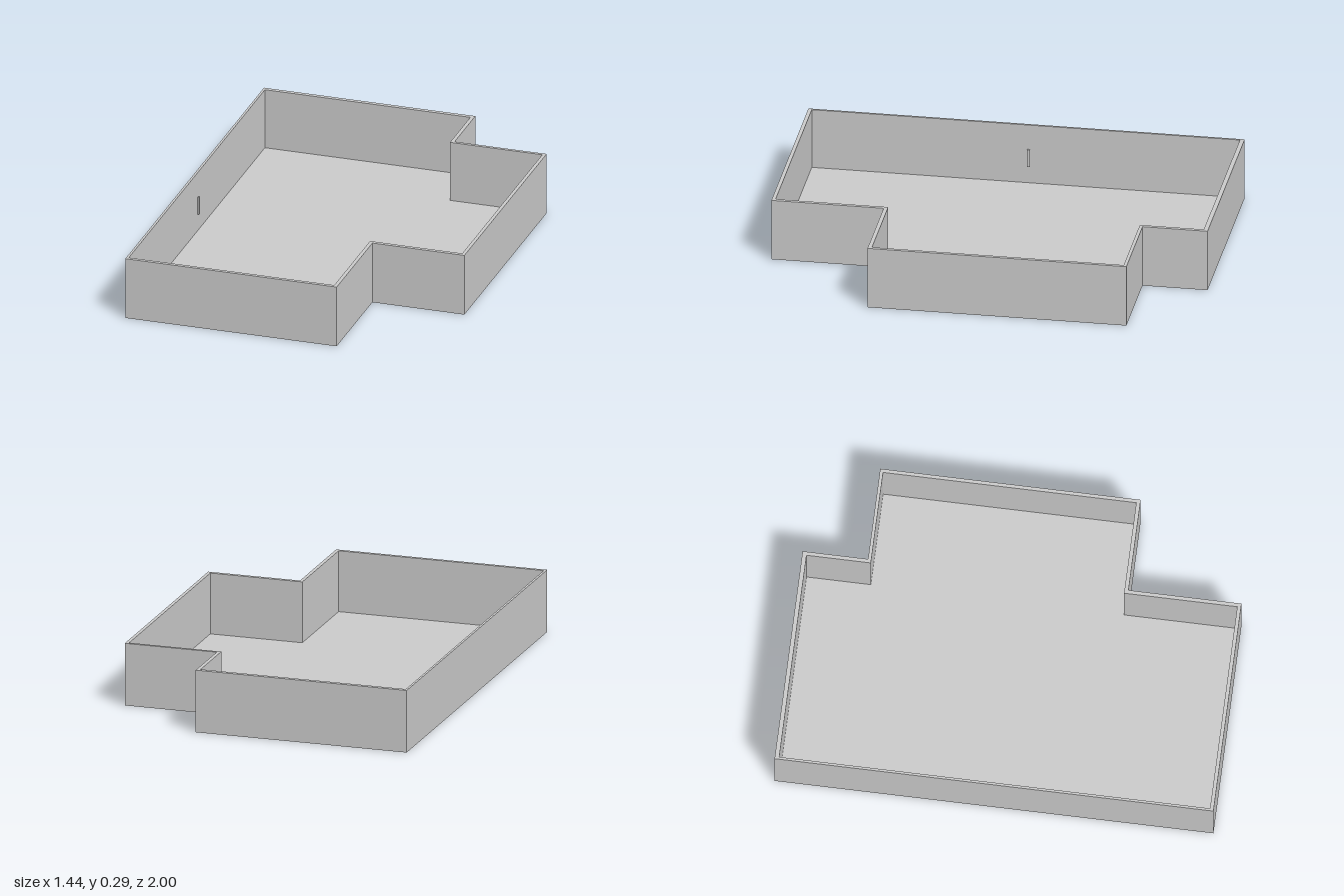
import * as THREE from 'three';

const HEIGHT = 0.293, FLOOR = 0.006;

// Outer and inner outlines as [x, z], with the side wing on +x
const outer = [[-0.722, -1], [0.284, -1], [0.284, -0.702], [0.722, -0.702], [0.722, 0.485], [0.284, 0.485], [0.284, 1], [-0.722, 1]];
const inner = [[-0.711, -0.98], [0.267, -0.98], [0.267, -0.687], [0.706, -0.687], [0.706, 0.467], [0.267, 0.467], [0.267, 0.983], [-0.711, 0.983]];

// Shape y becomes -z once the extrusion is stood upright
const toPoints = (outline) => outline.map(([x, z]) => new THREE.Vector2(x, -z));

function extrudeUp(shape, depth) {
  return new THREE.ExtrudeGeometry(shape, { depth, bevelEnabled: false }).rotateX(-Math.PI / 2);
}

export function createModel() {
  const group = new THREE.Group();
  group.name = 'walledTray';
  const material = new THREE.MeshStandardMaterial({ color: 0xcccccc, flatShading: true });

  const add = (name, geometry, x = 0, y = 0, z = 0) => {
    const mesh = new THREE.Mesh(geometry, material);
    mesh.name = name;
    mesh.position.set(x, y, z);
    group.add(mesh);
  };

  // Thin floor slab
  add('floor', extrudeUp(new THREE.Shape(toPoints(outer)), FLOOR));

  // Thin perimeter walls; the hole runs opposite to the outline so its faces point inward
  const wallShape = new THREE.Shape(toPoints(outer));
  wallShape.holes.push(new THREE.Path(toPoints(inner).reverse()));
  add('walls', extrudeUp(wallShape, HEIGHT - FLOOR), 0, FLOOR, 0);

  // Small upright strip on the inside of the long wall
  add('wallStrip', new THREE.BoxGeometry(0.008, 0.085, 0.012), -0.707, 0.13, -0.012);

  return group;
}
